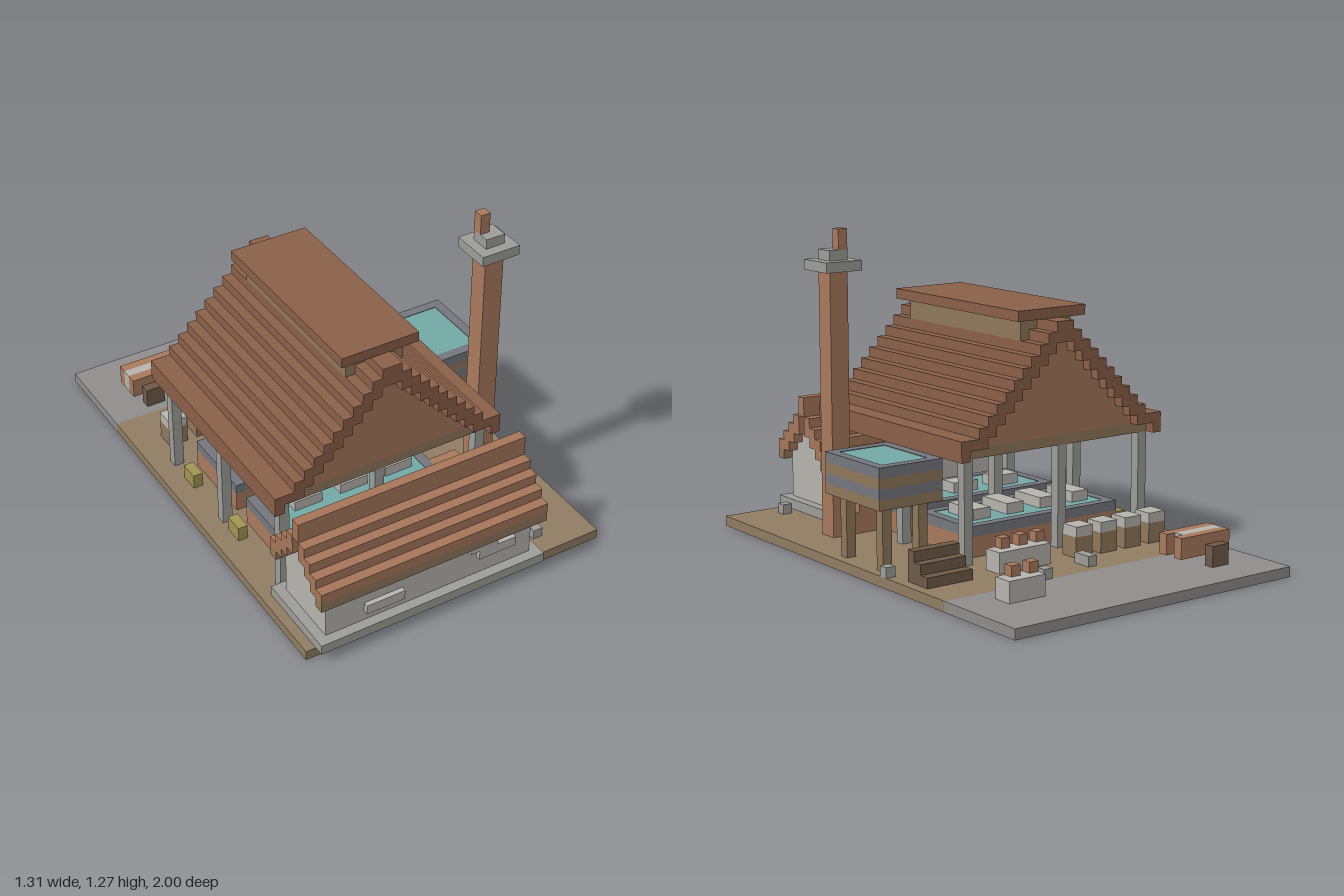
import * as THREE from 'three';
import { mergeGeometries } from 'three/addons/utils/BufferGeometryUtils.js';

const U = 2 / 49; // one block
const C = {
  roof: 0x8a6049, tile: 0xa5765a, brick: 0xa8795c, dark: 0x6e5a48, wood: 0x8f765a,
  wall: 0xb5b3ad, stone: 0x9c9c98, slab: 0x8e8d8b, ground: 0x8f7c62,
  metal: 0x74767c, water: 0x72a8a5, straw: 0xa09552,
};
const PY = 2, NY = 3, PZ = 4, NZ = 5; // box face numbers

// Box given in blocks: [x0, x1, y0, y1, z0, z1], with some faces left out
function block([x0, x1, y0, y1, z0, z1], skip = []) {
  const g = new THREE.BoxGeometry((x1 - x0) * U, (y1 - y0) * U, (z1 - z0) * U);
  const index = Array.from(g.index.array);
  g.setIndex(index.filter((_, n) => !skip.includes(Math.floor(n / 6))));
  g.clearGroups();
  return g.translate(((x0 + x1) / 2 - 16) * U, (y0 + y1) / 2 * U, ((z0 + z1) / 2 - 24.5) * U);
}

// Four walls, one block thick
function frame(x0, x1, y0, y1, z0, z1) {
  return [
    [x0, x1, y0, y1, z0, z0 + 1], [x0, x1, y0, y1, z1 - 1, z1],
    [x0, x0 + 1, y0, y1, z0 + 1, z1 - 1], [x1 - 1, x1, y0, y1, z0 + 1, z1 - 1],
  ];
}

export function createModel() {
  const model = new THREE.Group();
  const covered = []; // ground areas hidden under standing parts

  const addMesh = (name, color, geometries) => {
    const material = new THREE.MeshStandardMaterial({ color, side: THREE.DoubleSide, flatShading: true });
    const mesh = new THREE.Mesh(mergeGeometries(geometries), material);
    mesh.name = name;
    model.add(mesh);
  };
  const part = (name, color, boxes, skip) => addMesh(name, color, boxes.map((b) => block(b, skip)));
  // Parts that stand on the ground have no underside
  const stand = (name, color, boxes) => {
    covered.push(...boxes);
    part(name, color, boxes, [NY]);
  };

  // Front house: plinth, walls with stepped gables, stone patches
  part('housePlinth', C.stone, frame(1, 25, 1, 2, 40, 49));
  covered.push([2, 24, 1, 2, 41, 48]);
  const walls = [[2, 24, 2, 7, 41, 42], [2, 24, 2, 7, 47, 48]];
  for (let k = 42; k < 47; k++) {
    const top = 11 - Math.abs(k - 44);
    walls.push([2, 3, 2, top, k, k + 1], [23, 24, 2, top, k, k + 1]);
  }
  part('houseWalls', C.wall, walls);
  part('wallPatches', C.wall, [[6, 10, 3, 4, 48, 48.5], [17, 20, 5, 6, 48, 48.5], [18, 22, 4, 5, 48, 48.5]]);
  const tiles = [[1, 25, 11, 13, 44, 45]];
  const eaves = [];
  for (const s of [-1, 1]) {
    for (let d = 1; d <= 4; d++) {
      const k = 44 + s * d;
      tiles.push([1, 25, d === 4 ? 7 : 10 - d, d === 4 ? 8 : 12 - d, k, k + 1]);
    }
    eaves.push([1, 25, 6, 7, 44 + s * 4, 45 + s * 4]);
  }
  part('houseRoof', C.tile, tiles);
  part('houseEaves', C.wood, eaves);

  // Main hall roof: stepped boards, mirrored about block 13
  const boards = [];
  const board = (i, y0, y1, z0, z1) =>
    boards.push([i, i + 1, y0, y1, z0, z1], [25 - i, 26 - i, y0, y1, z0, z1]);
  board(1, 11, 13, 17, 41);
  board(2, 12, 13, 17, 41);
  for (let i = 3; i <= 10; i++) board(i, 9 + i, 11 + i, 17, 41);
  for (const [z0, z1] of [[17, 20], [38, 41]]) {
    board(11, 20, 22, z0, z1);
    board(12, 21, 23, z0, z1);
  }
  part('hallRoof', C.roof, boards);
  const gables = [];
  const beams = [];
  for (const k of [18, 39]) {
    beams.push([2, 24, 11, 12, k, k + 1]);
    for (let i = 3; i < 23; i++) {
      gables.push([i, i + 1, 12, 9 + Math.min(i, 25 - i) + 0.5, k, k + 1]);
    }
  }
  part('hallGables', C.tile, gables);
  part('hallBeams', C.wood, beams);
  part('roofVent', C.wood, frame(10, 16, 21, 23, 20, 38));
  part('ventCap', C.roof, [[9, 17, 23, 24, 19, 39]]);

  // Hall posts
  const posts = [];
  for (const k of [18, 28, 39]) {
    for (const i of [2, 12, 23]) posts.push([i, i + 1, 1, 11, k, k + 1]);
  }
  stand('hallPosts', C.stone, posts);

  // Two basins with lids on the water
  for (const [z0, z1] of [[20, 28], [30, 38]]) {
    part('basinWalls', C.brick, frame(4, 22, 1, 3, z0, z1), [NY]);
    covered.push([4, 22, 1, 3, z0, z1]);
    part('basinRim', C.metal, frame(4, 22, 3, 4, z0, z1));
    part('basinWater', C.water, [[5, 21, 3.5, 3.95, z0 + 1, z1 - 1]]);
  }
  part('basinLids', C.wall, [
    ...[6, 10, 14, 18].map((i) => [i, i + 2, 3.9, 5, 22, 26]),
    ...[7, 12, 17].map((i) => [i, i + 3, 3.9, 5, 32, 34]),
  ]);

  // Chimney with flue and collar
  stand('chimney', C.brick, [[26, 28, 1, 27, 34, 36]]);
  stand('flue', C.brick, [[22, 25, 1, 4, 34, 36], [25, 26, 1, 3, 34, 36]]);
  part('chimneyCollar', C.stone, [[25, 29, 27, 28, 33, 37], [26, 28, 28, 29, 34, 36]]);
  part('chimneyTip', C.brick, [[26, 27, 29, 31, 34, 35]]);

  // Raised water tank
  part('tankBoards', C.wood, [...frame(25, 32, 7, 8, 20, 29), ...frame(25, 32, 9, 10, 20, 29)]);
  part('tankBands', C.metal, [...frame(25, 32, 8, 9, 20, 29), ...frame(25, 32, 10, 11, 20, 29)]);
  part('tankFloor', C.dark, [[26, 31, 7, 8, 21, 28]]);
  part('tankWater', C.water, [[26, 31, 10, 10.95, 21, 28]]);
  part('tankPipe', C.wood, [[24, 28, 6, 7, 24, 25]]);
  const legs = [];
  for (const i of [26, 30]) for (const k of [21, 27]) legs.push([i, i + 1, 1, 7, k, k + 1]);
  stand('tankLegs', C.wood, legs);

  // Yard: steps, barrels, tables, cart, straw bales and stones
  stand('steps', C.dark, [0, 1, 2].map((n) => [26, 31, 1, 2 + n, 14 + n, 15 + n]));
  stand('barrels', C.wood, [3, 6, 9, 12].map((i) => [i, i + 2, 1, 3, 14, 16]));
  part('barrelLids', C.wall, [3, 6, 9, 12].map((i) => [i, i + 2, 3, 4, 14, 16]));
  stand('tables', C.wall, [[17, 23, 1, 3, 14, 16], [24, 28, 1, 3, 6, 8]]);
  part('tableJars', C.brick, [[17, 15], [19, 15], [21, 15], [24, 7], [26, 7]]
    .map(([i, k]) => [i, i + 1, 3, 4, k, k + 1]));
  stand('cartWheels', C.dark, [[4, 6, 1, 3, 4, 5], [4, 6, 1, 3, 8, 9]]);
  part('cartSides', C.brick, [[3, 9, 2, 4, 5, 6], [3, 9, 2, 4, 7, 8]]);
  part('cartLoad', C.wall, [[3, 8, 2, 4, 6, 7]]);
  stand('strawBales', C.straw, [[2, 3, 1, 2.5, 21, 23], [2, 3, 1, 2.5, 30, 32]]);
  stand('stones', C.stone, [[31, 32, 1, 2, 19, 20], [26, 27, 1, 2, 45, 46], [20, 21, 1, 2, 10, 11], [14, 15, 1, 2, 11, 13]]);

  // Ground sheets, open below and cut away under standing parts
  const isCovered = (i, k) =>
    covered.some(([x0, x1, , , z0, z1]) => i >= x0 && i < x1 && k >= z0 && k < z1);
  const sheet = (name, color, z0, z1, innerSide) => {
    const pieces = [block([0, 32, 0, 1, z0, z1], [PY, NY, innerSide])];
    for (let k = z0; k < z1; k++) {
      for (let i = 0, start = 0; i <= 32; i++) {
        if (i < 32 && !isCovered(i, k)) continue;
        if (i > start) pieces.push(block([start, i, 0, 1, k, k + 1], [0, 1, NY, PZ, NZ]));
        start = i + 1;
      }
    }
    addMesh(name, color, pieces);
  };
  sheet('pavement', C.slab, 0, 10, PZ);
  sheet('yardGround', C.ground, 10, 48, NZ);

  return model;
}
